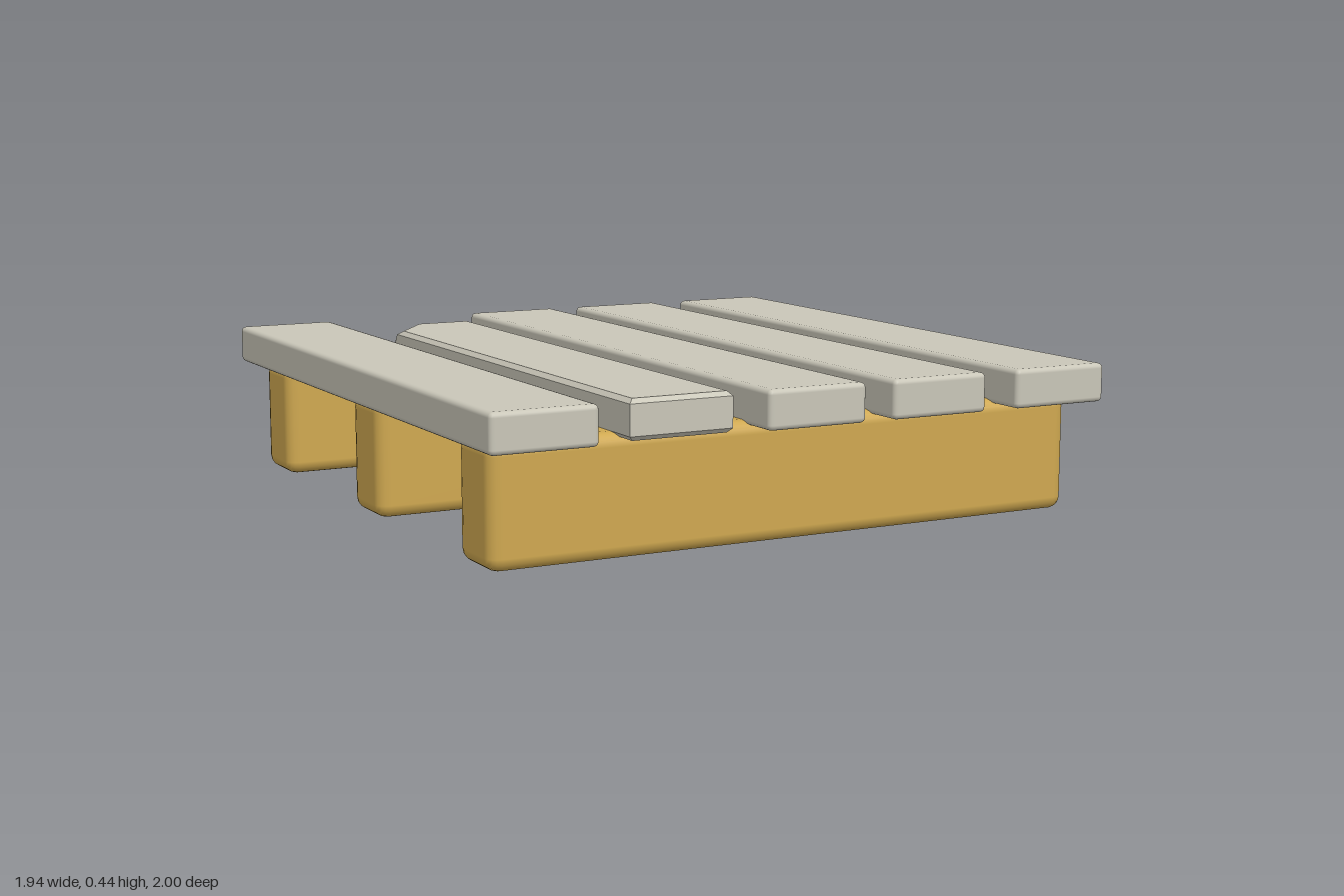
import * as THREE from 'three';
import { RoundedBoxGeometry } from 'three/addons/geometries/RoundedBoxGeometry.js';
import { ConvexGeometry } from 'three/addons/geometries/ConvexGeometry.js';

const PLANK_BOTTOM = 0.332, PLANK_TOP = 0.445, PLANK_WIDTH = 0.31;

// Plank with one back corner broken away: a rounded lower outline sloping up to a longer cut
function brokenPlankGeometry() {
  const x0 = -0.557, x1 = x0 + PLANK_WIDTH, z0 = -0.803, z1 = 0.965, r = 0.013;
  const points = [];
  const add = (y, inset, corner) => {
    points.push(
      new THREE.Vector3(x1 - inset, y, z0 + inset),
      new THREE.Vector3(x1 - inset, y, z1 - inset),
      new THREE.Vector3(x0 + inset, y, z1 - inset),
      ...corner.map(([dx, dz]) => new THREE.Vector3(x0 + Math.max(dx, inset), y, z0 + Math.max(dz, inset)))
    );
  };
  const arc = [[0, 0.095], [0.012, 0.053], [0.04, 0.018], [0.08, 0]];
  const cut = [[0, 0.165], [0.13, 0]];
  add(PLANK_BOTTOM, r, arc);
  add(PLANK_BOTTOM + r, 0, arc);
  add(PLANK_TOP - r, 0, [[0, 0.14], [0.11, 0]]);
  add(PLANK_TOP, r, cut);
  return new ConvexGeometry(points);
}

export function createModel() {
  const model = new THREE.Group();
  model.name = 'pallet';
  const wood = new THREE.MeshStandardMaterial({ color: 0xcfa850 });
  wood.name = 'golden wood';
  const grey = new THREE.MeshStandardMaterial({ color: 0xc9c6b8 });
  grey.name = 'weathered grey';

  const addMesh = (name, geometry, material, x = 0, y = 0, z = 0) => {
    const mesh = new THREE.Mesh(geometry, material);
    mesh.name = name;
    mesh.position.set(x, y, z);
    model.add(mesh);
  };

  // Three supporting beams running side to side
  const beam = new RoundedBoxGeometry(1.85, 0.345, 0.21, 2, 0.038);
  [['backBeam', -0.785], ['middleBeam', 0], ['frontBeam', 0.785]].forEach(([name, z]) =>
    addMesh(name, beam, wood, 0, 0.1725, z));

  // Four whole deck planks running front to back
  const plank = new RoundedBoxGeometry(PLANK_WIDTH, PLANK_TOP - PLANK_BOTTOM, 2, 2, 0.015);
  [-0.815, 0, 0.4, 0.815].forEach((x, i) =>
    addMesh(`deckPlank${i + 1}`, plank, grey, x, (PLANK_TOP + PLANK_BOTTOM) / 2, 0));

  // Shorter plank with the broken corner
  addMesh('brokenPlank', brokenPlankGeometry(), grey);

  return model;
}
